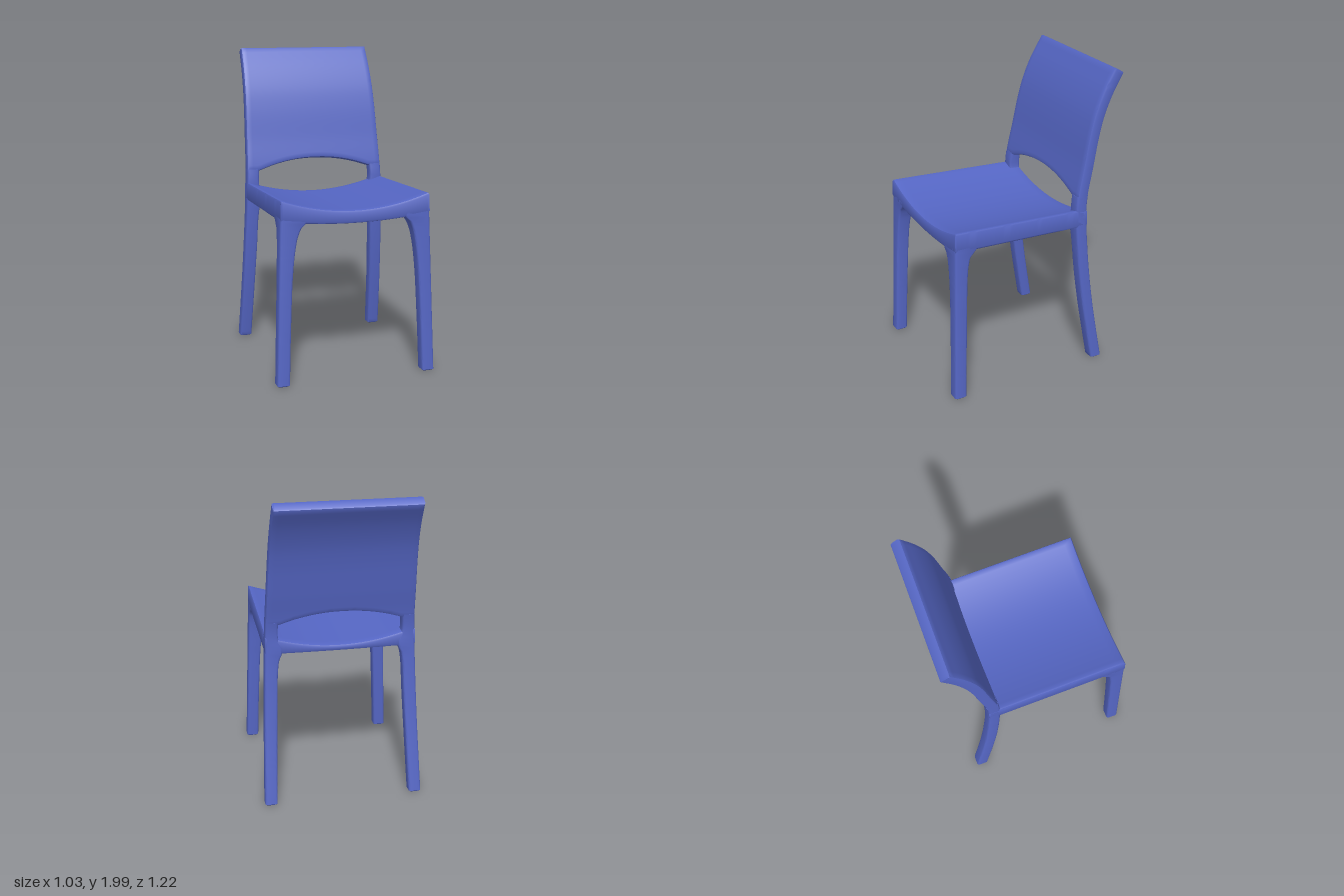
import * as THREE from 'three';
import { toCreasedNormals } from 'three/addons/utils/BufferGeometryUtils.js';

const R = 0.014; // edge rounding
const material = new THREE.MeshStandardMaterial({ color: 0x5566c4 });

// Smooth function y -> value through a few [y, value] pairs
function smooth(pairs) {
  const f = new THREE.CubicInterpolant(pairs.map(p => p[0]), pairs.map(p => p[1]), 1);
  return y => f.evaluate(y)[0];
}

const halfWidth = y => 0.515 - 0.035 * y;
const frontZ = y => 0.61 - 0.035 * y;
// Centre line of the rear legs and backrest, seen from the side
const spine = smooth([[0, -0.45], [0.2, -0.415], [0.4, -0.382], [0.6, -0.355], [0.8, -0.335],
  [1, -0.322], [1.15, -0.322], [1.4, -0.37], [1.6, -0.411], [1.72, -0.446], [1.85, -0.503], [1.98, -0.58]]);

// Skin over equally long rings of [x, y, z], closed by strips at both ends
function loft(name, rings) {
  const n = rings[0].length, last = (rings.length - 1) * n, index = [];
  const quad = (a, b, c, d) => index.push(a, b, c, a, c, d);
  for (let r = 0; r < rings.length - 1; r++)
    for (let i = 0; i < n; i++) {
      const j = (i + 1) % n, o = r * n;
      quad(o + i, o + j, o + n + j, o + n + i);
    }
  for (let i = 0; i < n / 2 - 1; i++) {
    quad(n - 1 - i, n - 2 - i, i + 1, i);
    quad(last + i, last + i + 1, last + n - 2 - i, last + n - 1 - i);
  }
  // turn the faces outward whatever the ring direction
  const p = rings.flat().map(v => new THREE.Vector3(...v));
  let volume = 0;
  for (let i = 0; i < index.length; i += 3)
    volume += p[index[i]].dot(p[index[i + 1]].clone().cross(p[index[i + 2]]));
  if (volume < 0) index.reverse();
  const geo = new THREE.BufferGeometry().setFromPoints(p);
  geo.setIndex(index);
  const mesh = new THREE.Mesh(toCreasedNormals(geo, 0.75), material);
  mesh.name = name;
  return mesh;
}

// Horizontal rounded rectangle
function rectRing(xa, xb, za, zb, y, inset = 0) {
  const x0 = Math.min(xa, xb) + inset, x1 = Math.max(xa, xb) - inset;
  const z0 = za + inset, z1 = zb - inset, ring = [];
  [[x1, z1, -1, -1], [x0, z1, 1, -1], [x0, z0, 1, 1], [x1, z0, -1, 1]].forEach(([x, z, sx, sz], k) => {
    for (let i = 0; i <= 3; i++) {
      const a = (k + i / 3) * Math.PI / 2;
      ring.push([x + sx * R + R * Math.cos(a), y, z + sz * R + R * Math.sin(a)]);
    }
  });
  return ring;
}

// Leg: side is +1 (left) or -1 (right); inner(y) and zRange(y) give its section
function leg(name, side, top, inner, zRange) {
  const rings = [rectRing(side * inner(0), side * halfWidth(0), ...zRange(0), 0, 0.006)];
  for (let i = 0; i <= 48; i++) {
    const y = 0.006 + (top - 0.006) * i / 48;
    rings.push(rectRing(side * inner(y), side * halfWidth(y), ...zRange(y), y));
  }
  return loft(name, rings);
}

// Columns across the width, from -1 to 1, with thin rounded margins
function columns(extra = []) {
  const u = [];
  for (let i = 0; i <= 36; i++) u.push(-0.97 + 1.94 * i / 36);
  for (const e of [1, 0.991, ...extra]) u.push(-e, e);
  return u.sort((a, b) => a - b);
}
// Amount by which a column is pulled in to round the outer edge
const edgePull = u => (Math.abs(u) > 0.995 ? R : Math.abs(u) > 0.98 ? R * 0.3 : 0);

// Dished seat, with a recessed underside inside a rim
function seat() {
  const back = -0.358, N = 32, rim = 0.06;
  const rings = columns([0.83, 0.885]).map(u => {
    const pull = edgePull(u), top = [], under = [];
    const sideRim = THREE.MathUtils.smoothstep(0.885 - Math.abs(u), 0, 0.055);
    const stops = [0, 0.005, R, rim, rim + 0.025];
    const d = [...stops];
    const length = frontZ(1.1) - back;
    for (let i = 1; i < N; i++) d.push(rim + 0.025 + (length - 2 * rim - 0.05) * i / N);
    d.push(...stops.map(s => length - s).reverse());
    for (const s of d) {
      const z = back + s, t = s / length, e = Math.min(s, length - s);
      const round = e < R ? R * (1 - Math.sqrt(1 - (1 - e / R) ** 2)) : 0;
      const cut = Math.max(pull, round);
      const yTop = 1.065 + 0.085 * u * u - 0.04 * (1 - t);
      const yRim = 0.985 + u * u * (0.005 + 0.03 * t);
      const inside = sideRim * THREE.MathUtils.smoothstep(e, rim, rim + 0.025);
      const yUnder = THREE.MathUtils.lerp(yRim, yTop - 0.045, inside);
      // the front and sides lean with the legs
      const put = (y, list) => list.push([u * halfWidth(y), y, z + t * (frontZ(y) - frontZ(1.1))]);
      put(yTop - cut, top);
      put(yUnder + cut, under);
    }
    return [...top, ...under.reverse()];
  });
  return loft('seat', rings);
}

// Curved backrest panel with an arched lower edge
function backrest() {
  const N = 36, half = 0.037;
  const rings = columns().map(u => {
    const arch = Math.min(1, Math.abs(u * halfWidth(1.2)) / 0.395);
    const y0 = 1.255 - 0.073 * arch ** 2.1, y1 = 1.98;
    const front = [], rear = [];
    const ys = [y0, y0 + 0.004, y0 + R];
    for (let i = 1; i < N; i++) ys.push(y0 + R + (y1 - y0 - 2 * R) * i / N);
    ys.push(y1 - R, y1 - 0.004, y1);
    for (const y of ys) {
      const e = Math.min(y - y0, y1 - y);
      const round = e < R ? R * (1 - Math.sqrt(1 - (1 - e / R) ** 2)) : 0;
      const h = half - Math.max(edgePull(u), round);
      const slope = (spine(Math.min(y + 0.01, 1.98)) - spine(y - 0.01)) / (Math.min(y + 0.01, 1.98) - y + 0.01);
      const k = h / Math.hypot(1, slope);
      const x = u * halfWidth(y);
      front.push([x, y - slope * k, spine(y) + k]);
      rear.push([x, y + slope * k, spine(y) - k]);
    }
    return [...front, ...rear.reverse()];
  });
  return loft('backrest', rings);
}

export function createModel() {
  const group = new THREE.Group();
  group.name = 'chair';
  group.add(seat(), backrest());

  // Inner faces flare where the legs run into the seat
  const frontInner = smooth([[0, 0.435], [0.4, 0.42], [0.7, 0.403], [0.85, 0.385], [0.93, 0.367], [0.98, 0.343], [1.005, 0.315], [1.05, 0.3]]);
  const frontInnerZ = smooth([[0, 0.53], [0.4, 0.513], [0.7, 0.5], [0.85, 0.491], [0.93, 0.48], [0.98, 0.463], [1.01, 0.43], [1.05, 0.41]]);
  const rearInner = smooth([[0, 0.435], [0.4, 0.42], [0.7, 0.407], [0.88, 0.399], [0.95, 0.388], [0.99, 0.37], [1.03, 0.37], [1.08, 0.393], [1.12, 0.396], [1.2, 0.393]]);

  for (const [side, word] of [[1, 'left'], [-1, 'right']]) {
    group.add(leg(word + 'FrontLeg', side, 1.04, frontInner, y => [frontInnerZ(y), frontZ(y)]));
    // The rear leg continues upward as the post beside the opening
    group.add(leg(word + 'RearLeg', side, 1.2, rearInner, y => [spine(y) - 0.039, spine(y) + 0.039]));
  }
  return group;
}
